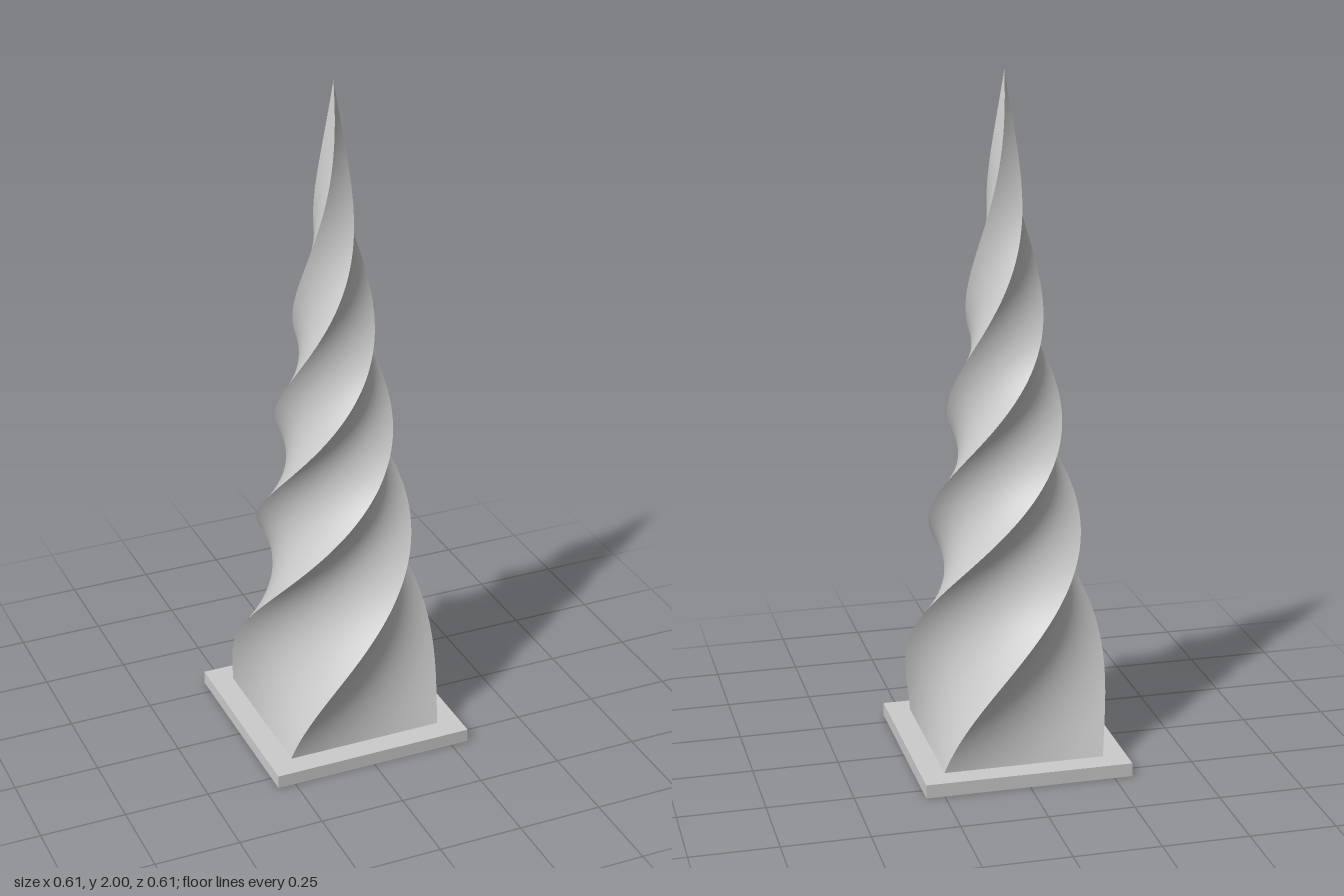
import * as THREE from 'three';

const PLINTH_SIZE = 0.606;
const PLINTH_HEIGHT = 0.04;
const SPIRE_WIDTH = 0.47;
const SPIRE_HEIGHT = 1.96;

// Twist angle in radians at height fraction t: gentle at both ends, fastest mid-way
const twistAt = t => THREE.MathUtils.degToRad(115 * t + 287 * THREE.MathUtils.smoothstep(t, 0, 1));

// Square bar tapered linearly to a point and twisted about its axis
function twistedSpire() {
  const geo = new THREE.BoxGeometry(SPIRE_WIDTH, SPIRE_HEIGHT, SPIRE_WIDTH, 14, 160, 14);
  geo.translate(0, SPIRE_HEIGHT / 2, 0);
  const pos = geo.attributes.position;
  const up = new THREE.Vector3(0, 1, 0);
  const v = new THREE.Vector3();
  for (let i = 0; i < pos.count; i++) {
    v.fromBufferAttribute(pos, i);
    const t = v.y / SPIRE_HEIGHT;
    const taper = Math.max(1 - t, 0.001);
    v.set(v.x * taper, v.y, v.z * taper).applyAxisAngle(up, twistAt(t));
    pos.setXYZ(i, v.x, v.y, v.z);
  }
  geo.computeVertexNormals(); // box sides share no vertices, so the four edges stay sharp
  return geo;
}

export function createModel() {
  const group = new THREE.Group();
  group.name = 'twistedObelisk';
  const material = new THREE.MeshStandardMaterial({ color: 0xcccccc });

  // Flat square plinth
  const plinth = new THREE.Mesh(new THREE.BoxGeometry(PLINTH_SIZE, PLINTH_HEIGHT, PLINTH_SIZE), material);
  plinth.name = 'plinth';
  plinth.position.y = PLINTH_HEIGHT / 2;

  // Spiralling spire
  const spire = new THREE.Mesh(twistedSpire(), material);
  spire.name = 'spire';
  spire.position.y = PLINTH_HEIGHT;

  group.add(plinth, spire);
  return group;
}
